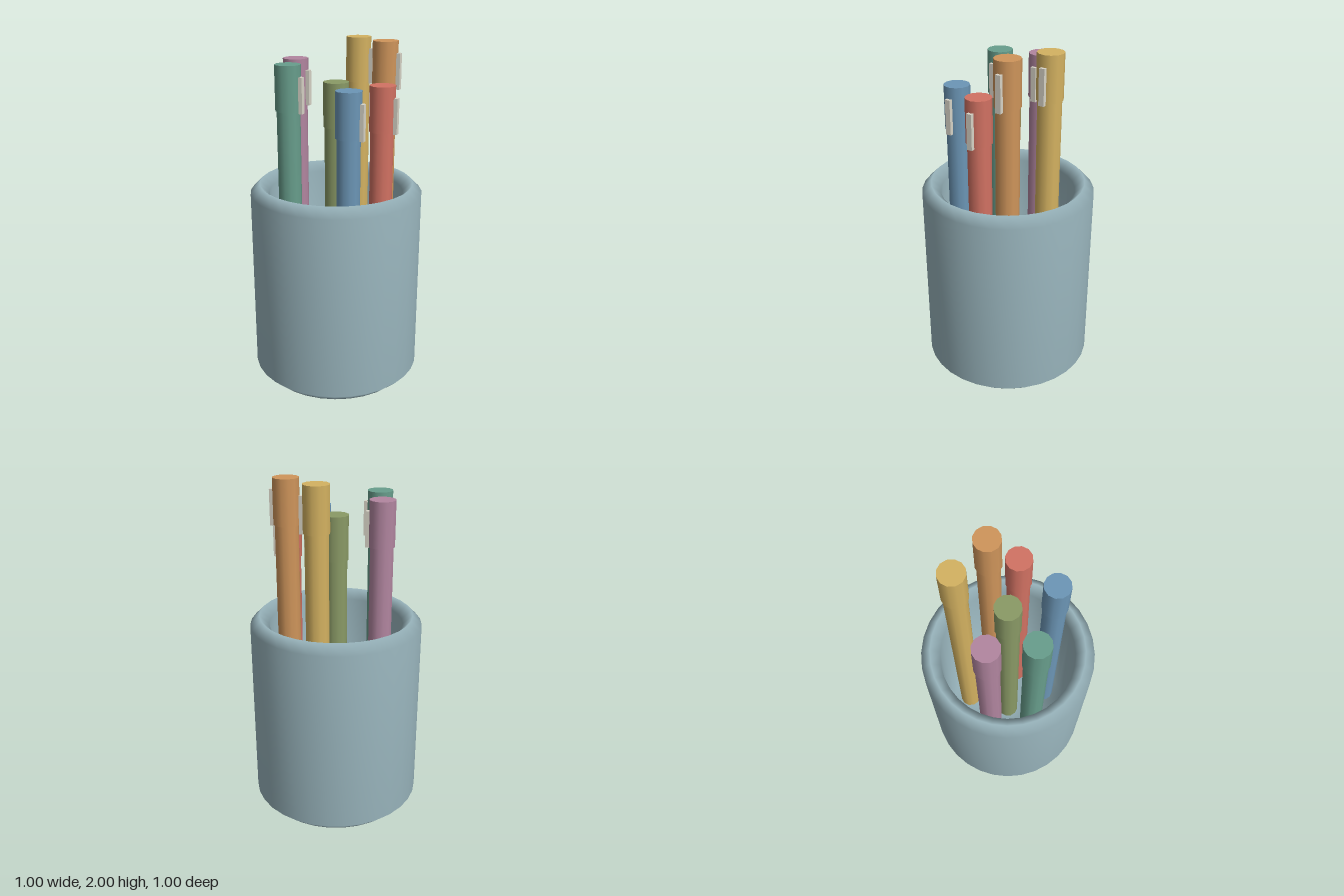
import * as THREE from 'three';

const material = (name, color) => {
  const m = new THREE.MeshStandardMaterial({ color });
  m.name = name;
  return m;
};

function addMesh(parent, name, geometry, mat, x = 0, y = 0, z = 0) {
  const mesh = new THREE.Mesh(geometry, mat);
  mesh.name = name;
  mesh.position.set(x, y, z);
  parent.add(mesh);
  return mesh;
}

export function createModel() {
  const model = new THREE.Group();
  model.name = 'penCup';

  // Cup: closed profile with bevelled foot and rounded rim, hollow inside
  const profile = [
    [0, 0], [0.44, 0], [0.5, 0.056], [0.5, 1.145], [0.445, 1.2],
    [0.39, 1.145], [0.39, 0.06], [0, 0.06],
  ].map(([r, y]) => new THREE.Vector2(r, y));
  addMesh(model, 'cup', new THREE.LatheGeometry(profile, 32), material('cup blue grey', 0x9ab6be));

  // Pens: name, colour, x, z, top height
  const pens = [
    ['yellow', 0xd4b261, 0.023, -0.277, 2.0],
    ['orange', 0xcf955b, 0.234, -0.151, 2.0],
    ['red', 0xd27263, 0.278, 0, 1.78],
    ['olive', 0x8a9a66, 0, 0, 1.78],
    ['blue', 0x6c96b6, 0.169, 0.22, 1.78],
    ['green', 0x689e8c, -0.205, 0.187, 1.89],
    ['mauve', 0xb286a0, -0.274, -0.048, 1.89],
  ];
  const clipMaterial = material('clip ivory', 0xd9d5c8);
  const capHeight = 0.255;
  const floor = 0.06;
  const capGeometry = new THREE.CylinderGeometry(0.073, 0.073, capHeight, 12);
  const clipGeometry = new THREE.BoxGeometry(0.022, 0.2, 0.032);

  for (const [name, color, x, z, top] of pens) {
    const pen = new THREE.Group();
    pen.name = `${name}Pen`;
    pen.position.set(x, 0, z);
    const ink = material(`${name} pen`, color);
    const barrelTop = top - capHeight + 0.02;
    const barrel = new THREE.CylinderGeometry(0.066, 0.066, barrelTop - floor, 12);
    addMesh(pen, 'barrel', barrel, ink, 0, (barrelTop + floor) / 2, 0);
    addMesh(pen, 'cap', capGeometry, ink, 0, top - capHeight / 2, 0);
    addMesh(pen, 'clip', clipGeometry, clipMaterial, 0.08, top - 0.165, 0);
    model.add(pen);
  }

  return model;
}
